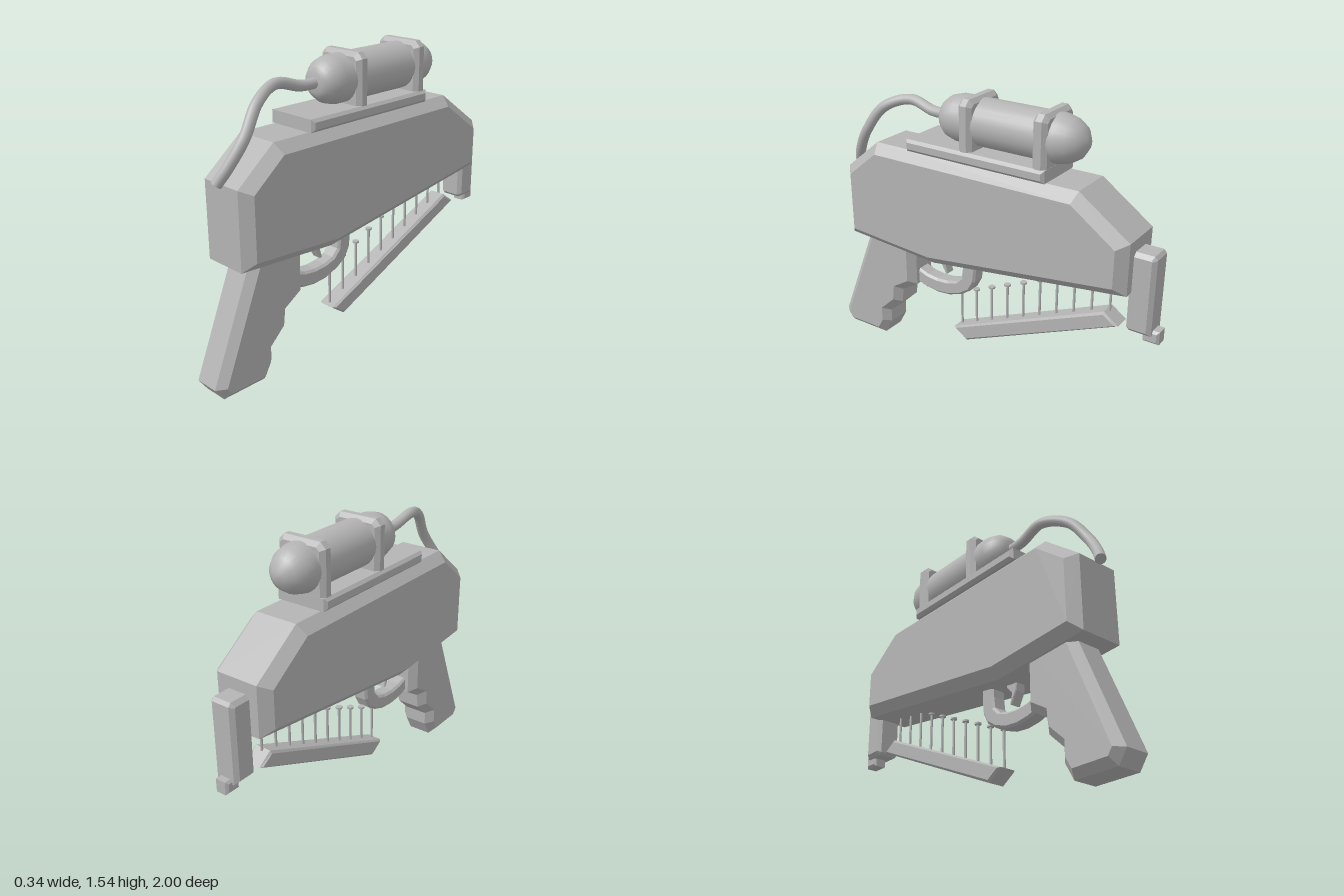
import * as THREE from 'three';

const grey = new THREE.MeshStandardMaterial({ color: 0xb4b4b4 });
grey.name = 'plain grey';

// Extrude an outline to a total depth, chamfered inside the outline.
function chamfered(points, depth, chamfer) {
  const shape = new THREE.Shape(points.map(([a, b]) => new THREE.Vector2(a, b)));
  const geo = new THREE.ExtrudeGeometry(shape, {
    depth: depth - 2 * chamfer, bevelEnabled: true, bevelSegments: 1,
    bevelSize: chamfer, bevelThickness: chamfer, bevelOffset: -chamfer,
  });
  return geo.translate(0, 0, chamfer - depth / 2);
}

// Side outline in (z, y), spread evenly across x.
const sideSlab = (points, width, chamfer) => chamfered(points, width, chamfer).rotateY(-Math.PI / 2);

const rect = (a0, b0, a1, b1) => [[a0, b0], [a1, b0], [a1, b1], [a0, b1]];

export function createModel() {
  const model = new THREE.Group();
  model.name = 'nailGun';
  const add = (name, geometry, parent = model) => {
    const mesh = new THREE.Mesh(geometry, grey);
    mesh.name = name;
    parent.add(mesh);
    return mesh;
  };

  // Main housing
  add('body', sideSlab([
    [0.85, 0.645], [0.85, 1.045], [0.635, 1.22], [-0.58, 1.22],
    [-0.855, 1.025], [-0.855, 0.755], [0.28, 0.605],
  ], 0.34, 0.052));

  // Grip with finger notches
  add('handle', sideSlab([
    [0.735, 0.72], [1.0, 0.07], [0.95, 0], [0.7, 0], [0.65, 0.09], [0.65, 0.165],
    [0.56, 0.25], [0.55, 0.335], [0.445, 0.4], [0.445, 0.72],
  ], 0.21, 0.04));

  // Trigger and its guard
  add('triggerGuard', sideSlab([
    [0.48, 0.41], [0.4, 0.385], [0.32, 0.375], [0.24, 0.382], [0.16, 0.41], [0.1, 0.45],
    [0.068, 0.51], [0.06, 0.58], [0.065, 0.68], [0.14, 0.68], [0.147, 0.58], [0.155, 0.52],
    [0.19, 0.483], [0.25, 0.465], [0.32, 0.46], [0.39, 0.468], [0.48, 0.5],
  ], 0.09, 0.012));
  add('trigger', sideSlab([
    [0.31, 0.65], [0.305, 0.565], [0.27, 0.5], [0.257, 0.505], [0.273, 0.56],
    [0.235, 0.6], [0.235, 0.65],
  ], 0.06, 0.005));

  // Sloping magazine rail with a row of nails
  add('magazineRail', sideSlab([[0.205, 0.195], [0.12, 0.135], [-0.79, 0.535], [-0.71, 0.592]], 0.11, 0.012));
  const nails = new THREE.Group();
  nails.name = 'nails';
  model.add(nails);
  for (let i = 0; i < 10; i++) {
    const z = 0.18 - 0.1 * i;
    const top = 0.41 + 0.0445 * i;
    add('nailShank', new THREE.CylinderGeometry(0.007, 0.007, 0.23, 8).translate(0, top - 0.115, z), nails);
    add('nailHead', new THREE.CylinderGeometry(0.018, 0.018, 0.01, 10).translate(0, top - 0.005, z), nails);
  }

  // Muzzle block and contact foot
  add('muzzle', sideSlab([
    [-0.835, 0.555], [-0.85, 0.54], [-0.965, 0.54], [-0.965, 0.945], [-0.95, 0.962], [-0.835, 0.962],
  ], 0.14, 0.02));
  add('contactFoot', sideSlab(rect(-0.915, 0.495, -1.0, 0.565), 0.08, 0.012));

  // Mounting plate and two tank brackets
  add('mountPlate', sideSlab(rect(-0.405, 1.22, 0.42, 1.285), 0.3, 0.015));
  for (const z of [0.06, -0.365]) {
    add('tankBracket', chamfered([
      [-0.137, 1.26], [0.137, 1.26], [0.137, 1.515], [0.107, 1.545], [-0.107, 1.545], [-0.137, 1.515],
    ], 0.078, 0.022).translate(0, 0, z));
  }

  // Air tank, turned about the z axis
  const tankProfile = [
    [0, -0.558], [0.035, -0.555], [0.08, -0.525], [0.108, -0.48], [0.123, -0.42],
    [0.123, 0.16], [0.108, 0.215], [0.08, 0.25], [0.05, 0.268], [0, 0.27],
  ].map(([r, z]) => new THREE.Vector2(r, z));
  add('airTank', new THREE.LatheGeometry(tankProfile, 24).rotateX(Math.PI / 2).translate(0, 1.41, 0));

  // Air hose from the tank to the back of the body
  const hosePath = new THREE.CatmullRomCurve3([
    [0, 1.41, 0.25], [-0.005, 1.41, 0.35], [-0.01, 1.445, 0.5], [0.035, 1.39, 0.65],
    [0.062, 1.25, 0.755], [0.035, 1.13, 0.83], [0, 1.05, 0.875],
  ].map((p) => new THREE.Vector3(...p)));
  const hose = add('airHose', new THREE.TubeGeometry(hosePath, 40, 0.028, 12));
  const endCap = add('hoseEnd', new THREE.CircleGeometry(0.028, 12));
  endCap.position.copy(hosePath.getPoint(1));
  endCap.lookAt(hosePath.getPoint(1).add(hosePath.getTangent(1)));

  return model;
}
